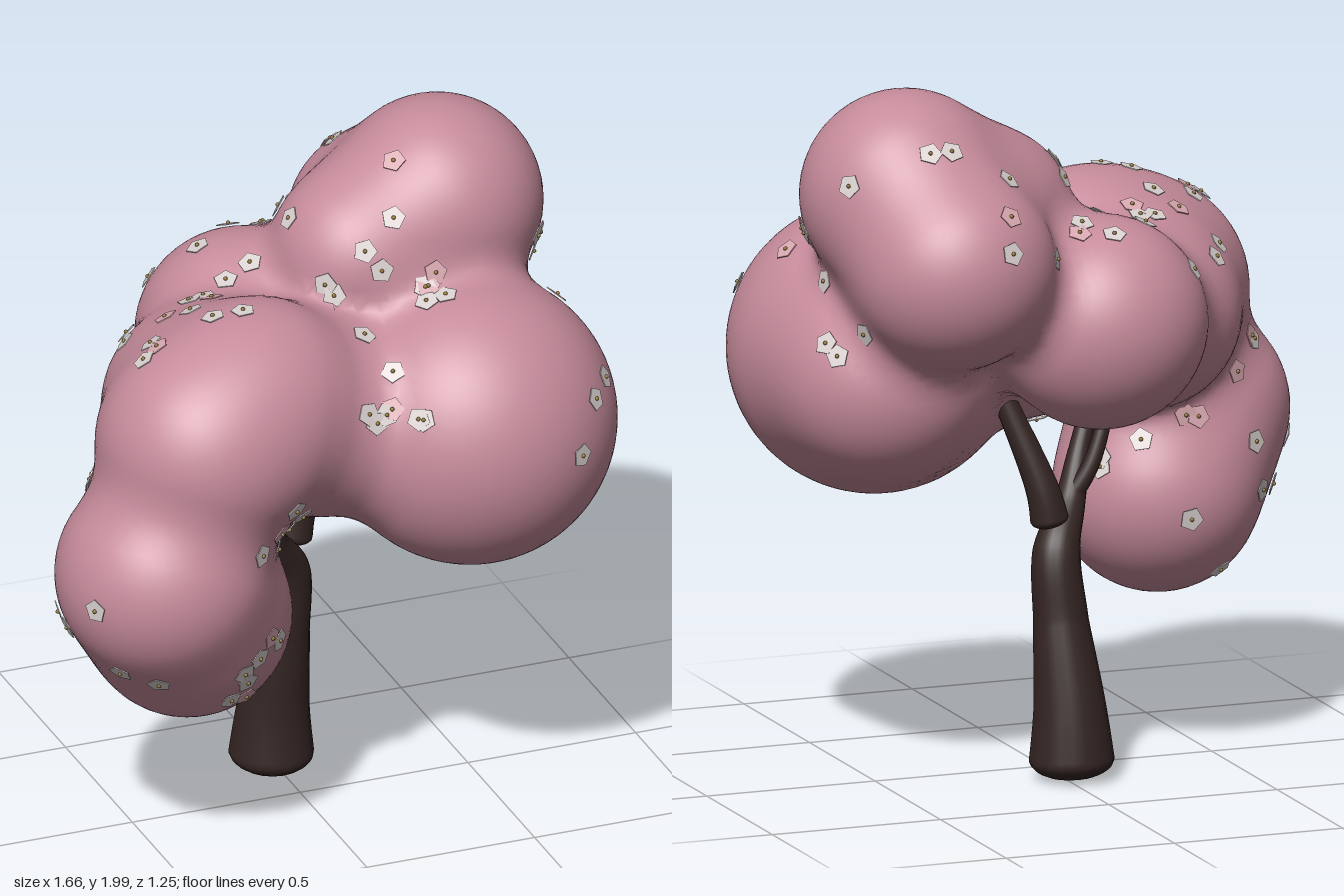
import * as THREE from 'three';
import { mergeGeometries, mergeVertices } from 'three/addons/utils/BufferGeometryUtils.js';

const V = (x, y, z) => new THREE.Vector3(x, y, z);
const material = color => new THREE.MeshStandardMaterial({ color });

// Foliage lobes: x, y, z, radius
const LOBES = [
  [0.42, 1.19, 0.215, 0.41], [0.5, 1.17, -0.06, 0.295],      // large right lobe
  [0.46, 1.7, -0.13, 0.295], [0.4, 1.53, -0.345, 0.285], [0.21, 1.61, -0.08, 0.25], // crown
  [-0.21, 1.35, 0.21, 0.295], [-0.38, 1.28, 0.26, 0.312],    // upper left lobe
  [-0.07, 1.32, -0.255, 0.3],                                // back lobe
  [0.0, 1.24, 0.16, 0.27], [-0.3, 1.27, 0.0, 0.27],          // filling between lobes
  [-0.525, 0.92, 0.295, 0.302], [-0.41, 0.725, 0.185, 0.292], // hanging left lobe
];
const BLEND = 0.11;

// Distance to the softly blended lobes
function field(p) {
  let d = 10;
  for (const [x, y, z, r] of LOBES) {
    const e = Math.hypot(p.x - x, p.y - y, p.z - z) - r;
    const h = Math.max(BLEND - Math.abs(d - e), 0) / BLEND;
    d = Math.min(d, e) - h * h * BLEND * 0.25;
  }
  return d;
}

function fieldNormal(p) {
  const slope = axis => {
    const step = V(0, 0, 0).setComponent(axis, 0.004);
    return field(p.clone().add(step)) - field(p.clone().sub(step));
  };
  return V(slope(0), slope(1), slope(2)).normalize();
}

function pullToSurface(p, steps) {
  for (let s = 0; s < steps; s++) p.addScaledVector(fieldNormal(p), -field(p));
  return p;
}

// Skin the blended lobes with a quad net over a regular grid
function foliageGeometry() {
  const step = 0.03, n = [62, 60, 48], min = V(-0.93, 0.33, -0.72);
  const stride = [1, n[0], n[0] * n[1]];
  const at = (i, j, k) => V(i, j, k).multiplyScalar(step).add(min);
  const values = new Float32Array(n[0] * n[1] * n[2]);
  const cells = new Map(), pos = [], nor = [], index = [];
  const each = (from, to, fn) => {
    for (let k = from; k < n[2] - to; k++)
      for (let j = from; j < n[1] - to; j++)
        for (let i = from; i < n[0] - to; i++) fn(i, j, k, i + j * stride[1] + k * stride[2]);
  };
  each(0, 0, (i, j, k, id) => { values[id] = field(at(i, j, k)); });
  // one vertex in every cell the surface passes through
  each(0, 1, (i, j, k, id) => {
    let inside = 0;
    for (let c = 0; c < 8; c++)
      if (values[id + (c & 1) + ((c >> 1) & 1) * stride[1] + (c >> 2) * stride[2]] < 0) inside++;
    if (inside === 0 || inside === 8) return;
    const p = pullToSurface(at(i + 0.5, j + 0.5, k + 0.5), 3);
    cells.set(id, pos.length / 3);
    pos.push(...p.toArray());
    nor.push(...fieldNormal(p).toArray());
  });
  // one quad around every grid edge that crosses the surface
  each(1, 1, (i, j, k, id) => {
    for (let a = 0; a < 3; a++) {
      const inA = values[id] < 0, inB = values[id + stride[a]] < 0;
      if (inA === inB) continue;
      const b = stride[(a + 1) % 3], c = stride[(a + 2) % 3];
      const q = [id - b - c, id - c, id, id - b].map(v => cells.get(v));
      if (!inA) q.reverse();
      index.push(q[0], q[1], q[2], q[0], q[2], q[3]);
    }
  });
  const g = new THREE.BufferGeometry();
  g.setAttribute('position', new THREE.Float32BufferAttribute(pos, 3));
  g.setAttribute('normal', new THREE.Float32BufferAttribute(nor, 3));
  g.setIndex(index);
  return g;
}

// Tapered limb with rounded ends through points of x, y, z, radius
function limb(name, points, mat) {
  const curve = new THREE.CatmullRomCurve3(points.map(([x, y, z]) => V(x, y, z)));
  const rings = 120, sides = 20, length = curve.getLength();
  const g = new THREE.TubeGeometry(curve, rings, 1, sides);
  const pos = g.attributes.position, v = V(0, 0, 0);
  for (let i = 0; i <= rings; i++) {
    const u = i / rings, centre = curve.getPointAt(u);
    const f = curve.getUtoTmapping(u) * (points.length - 1);
    const s = Math.min(Math.floor(f), points.length - 2);
    const r = THREE.MathUtils.lerp(points[s][3], points[s + 1][3], f - s);
    const end = Math.min(1, Math.min(u, 1 - u) * length / (r * 0.5));
    const size = r * Math.sqrt(1 - (1 - end) ** 2);
    for (let j = 0; j <= sides; j++) {
      const id = i * (sides + 1) + j;
      v.fromBufferAttribute(pos, id).sub(centre).multiplyScalar(size).add(centre);
      pos.setXYZ(id, v.x, v.y, v.z);
    }
  }
  g.deleteAttribute('uv');
  g.deleteAttribute('normal');
  const smooth = mergeVertices(g, 1e-5);
  smooth.computeVertexNormals();
  const mesh = new THREE.Mesh(smooth, mat);
  mesh.name = name;
  return mesh;
}

// Flat five-petal blossom facing +z
function blossomGeometry() {
  const shape = new THREE.Shape();
  for (let i = 0; i < 10; i++) {
    const a = (i / 10) * Math.PI * 2, r = i % 2 ? 0.028 : 0.035;
    shape[i ? 'lineTo' : 'moveTo'](Math.cos(a) * r, Math.sin(a) * r);
  }
  return new THREE.ExtrudeGeometry(shape, { depth: 0.003, bevelEnabled: false });
}

// Blossom clusters: x, y, z, spread, count
const CLUSTERS = [
  [-0.42, 0.63, 0.46, 0.15, 8], [-0.26, 1.07, 0.48, 0.11, 6],  // hanging lobe, front
  [0.07, 1.38, 0.45, 0.1, 7], [0.2, 1.62, 0.2, 0.15, 11],      // front creases
  [-0.4, 1.55, 0.05, 0.18, 12], [-0.12, 1.6, -0.22, 0.18, 10], // upper left and back
  [0.35, 1.8, -0.35, 0.28, 8], [0.68, 1.45, -0.05, 0.25, 9],   // crown and right side
  [0.7, 1.3, 0.45, 0.18, 3],                                   // right lobe, front
  [-0.78, 0.95, 0.25, 0.25, 8], [-0.5, 0.85, 0, 0.2, 8],       // hanging lobe, outside
  [-0.08, 0.98, 0.03, 0.15, 7],                                // underside
];

function addBlossoms(tree) {
  let seed = 7;
  const spread = () => (seed = (seed * 16807) % 2147483647) / 2147483647 * 2 - 1;
  const petals = blossomGeometry();
  const heart = new THREE.SphereGeometry(0.006, 8, 6).translate(0, 0, 0.005);
  const white = [], pink = [], hearts = [];
  for (const [x, y, z, size, count] of CLUSTERS) {
    for (let i = 0; i < count; i++) {
      const p = V(spread(), spread(), spread()).multiplyScalar(size).add(V(x, y, z));
      const n = fieldNormal(pullToSurface(p, 8));
      const turn = new THREE.Quaternion().setFromAxisAngle(V(0, 0, 1), spread() * Math.PI);
      const q = new THREE.Quaternion().setFromUnitVectors(V(0, 0, 1), n).multiply(turn);
      const m = new THREE.Matrix4().compose(p.addScaledVector(n, 0.005), q, V(1, 1, 1));
      (i % 4 === 3 ? pink : white).push(petals.clone().applyMatrix4(m));
      hearts.push(heart.clone().applyMatrix4(m));
    }
  }
  for (const [name, list, color] of [['whiteBlossoms', white, 0xd8d0ce],
    ['pinkBlossoms', pink, 0xd8a8b0], ['blossomHearts', hearts, 0x8f7434]]) {
    const mesh = new THREE.Mesh(mergeGeometries(list), material(color));
    mesh.name = name;
    tree.add(mesh);
  }
}

export function createModel() {
  const tree = new THREE.Group();
  tree.name = 'blossomTree';
  const bark = material(0x342523);

  // Trunk bending into the main branch, a side twig and a separate stub branch
  tree.add(
    limb('trunk', [[-0.02, 0.005, -0.17, 0.126], [-0.015, 0.2, -0.165, 0.102], [0, 0.45, -0.135, 0.077],
      [0.003, 0.64, -0.11, 0.067], [-0.06, 0.765, -0.05, 0.043], [-0.11, 0.9, 0.005, 0.03],
      [-0.19, 1.1, 0.06, 0.022]], bark),
    limb('twig', [[-0.06, 0.77, -0.05, 0.028], [-0.12, 0.87, -0.06, 0.024], [-0.2, 1.1, -0.03, 0.018]], bark),
    limb('stubBranch', [[0.027, 0.715, -0.13, 0.056], [0.05, 0.82, -0.125, 0.047], [0.15, 1.1, -0.06, 0.03]], bark));

  const foliage = new THREE.Mesh(foliageGeometry(), material(0xc68b9b));
  foliage.name = 'foliage';
  tree.add(foliage);

  addBlossoms(tree);
  return tree;
}
